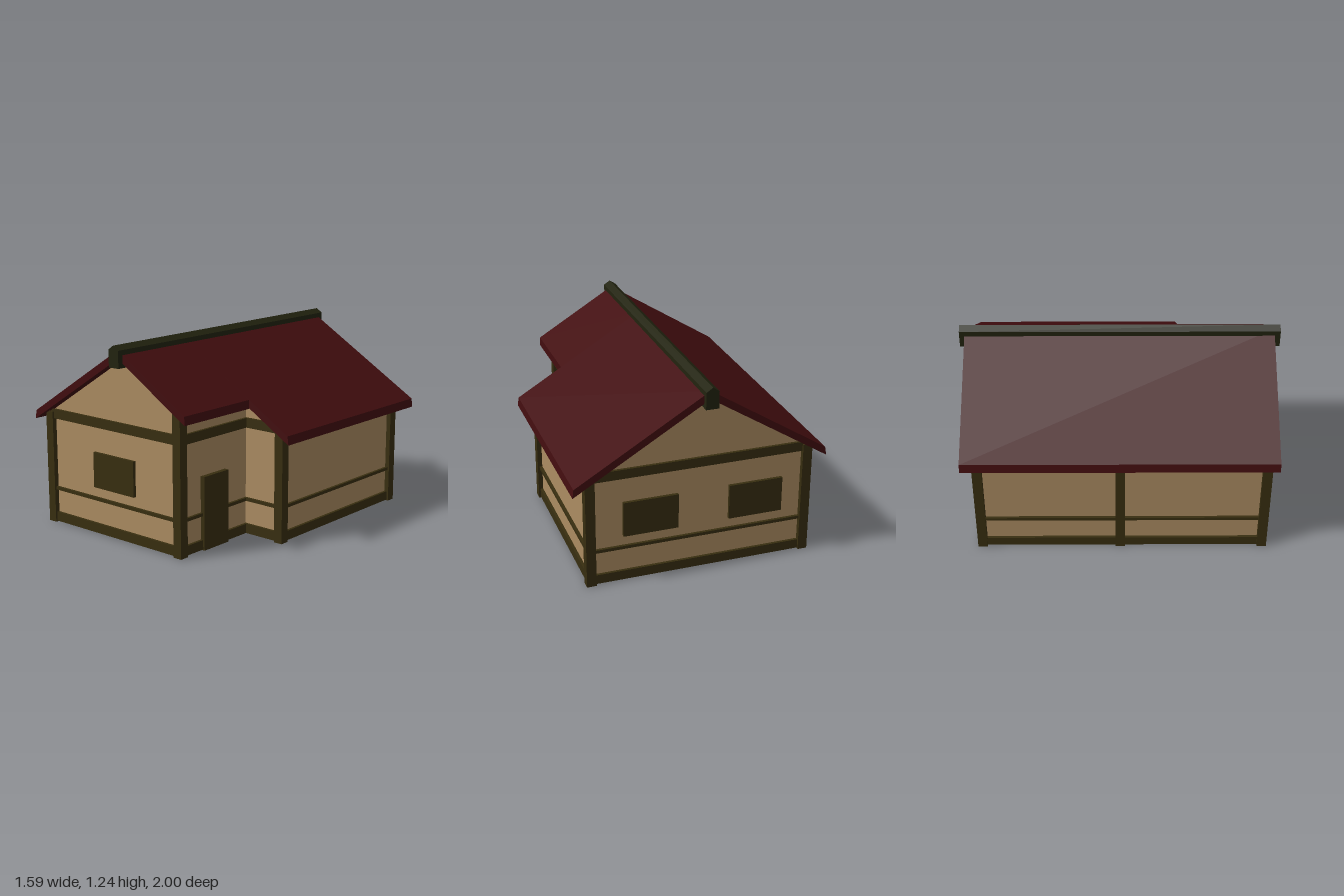
import * as THREE from 'three';

const mat = (name, color) => {
  const m = new THREE.MeshStandardMaterial({ color });
  m.name = name;
  return m;
};

export function createModel() {
  const plaster = mat('tan plaster', 0xac8c62);
  plaster.side = THREE.DoubleSide;
  const timber = mat('dark timber', 0x382e10);
  const tiles = mat('dark red roof', 0x420d0f);
  const ridgeWood = mat('ridge wood', 0x22230f);

  const house = new THREE.Group();
  house.name = 'house';
  const add = (name, geometry, material) => {
    const mesh = new THREE.Mesh(geometry, material);
    mesh.name = name;
    house.add(mesh);
    return mesh;
  };
  // Box given by its limits on each axis
  const box = (name, x0, x1, y0, y1, z0, z1, material) =>
    add(name, new THREE.BoxGeometry(x1 - x0, y1 - y0, z1 - z0), material)
      .position.set((x0 + x1) / 2, (y0 + y1) / 2, (z0 + z1) / 2);
  const shapeOf = (points) => new THREE.Shape(points.map(([x, y]) => new THREE.Vector2(x, y)));
  // Profile in x and y, extruded from z0 to z1
  const prism = (name, points, z0, z1, material) =>
    add(name, new THREE.ExtrudeGeometry(shapeOf(points), { depth: z1 - z0, bevelEnabled: false })
      .translate(0, 0, z0), material);

  const L = -0.705, R = 0.67, N = 0.39;         // wall lines in x; N is the porch notch
  const F = 0.9, NZ = 0.3, B = -0.875;          // wall lines in z
  const yL = 0.737, yR = 0.727, yN = 0.895, yTop = 1.155, ridgeX = -0.04;

  // Walls that follow the roof slope
  const gable = (name, points, z, flip) => {
    const g = new THREE.ShapeGeometry(shapeOf(points.map(([x, y]) => [flip ? -x : x, y])));
    if (flip) g.rotateY(Math.PI);
    add(name, g.translate(0, 0, z), plaster);
  };
  gable('frontWall', [[L, 0.01], [N, 0.01], [N, yN], [ridgeX, yTop], [L, yL]], F);
  gable('porchBackWall', [[N, 0.01], [R, 0.01], [R, yR], [N, yN]], NZ);
  gable('backWall', [[L, 0.01], [R, 0.01], [R, yR], [ridgeX, yTop], [L, yL]], B, true);

  // Straight side walls; dir is the outward side
  const sideWall = (name, x, z0, z1, top, dir) => {
    const g = new THREE.PlaneGeometry(z1 - z0, top - 0.01).rotateY(dir * Math.PI / 2);
    add(name, g.translate(x, (top + 0.01) / 2, (z0 + z1) / 2), plaster);
  };
  sideWall('leftWall', R, B, NZ, yR, 1);
  sideWall('porchSideWall', N, NZ, F, yN, 1);
  sideWall('rightWall', L, B, F, yL, -1);

  // Posts
  const h = 0.03;
  const posts = [[L, F, 0.735], [N, F, 0.9], [R, NZ, 0.72], [R, B, 0.72], [L, B, 0.735], [L, 0, 0.735]];
  for (const [x, z, top] of posts) box('post', x - h, x + h, 0.005, top, z - h, z + h, timber);

  // Horizontal beams: base and middle rail on every wall, top beam on gables and porch
  const rails = [['baseBeam', 0.01, 0.07], ['middleRail', 0.22, 0.24], ['topBeam', 0.69, 0.75]];
  const t = 0.018;
  const alongX = [[L, N, F, 1], [N, R, NZ, 1], [L, R, B, -1]];
  const alongZ = [[B, NZ, R, 1, false], [NZ, F, N, 1, true], [B, F, L, -1, false]];
  for (const [name, y0, y1] of rails) {
    for (const [x0, x1, z, d] of alongX)
      box(name, x0, x1, y0, y1, Math.min(z, z + d * t), Math.max(z, z + d * t), timber);
    for (const [z0, z1, x, d, hasTop] of alongZ)
      if (hasTop || name !== 'topBeam')
        box(name, Math.min(x, x + d * t), Math.max(x, x + d * t), y0, y1, z0, z1, timber);
  }

  // Shutters and door
  box('frontShutter', -0.32, 0.025, 0.305, 0.53, F, F + 0.02, timber);
  box('backShutter', 0.12, 0.465, 0.305, 0.53, B - 0.02, B, timber);
  box('backShutter', -0.55, -0.205, 0.305, 0.53, B - 0.02, B, timber);
  box('door', N, N + 0.03, 0.005, 0.465, 0.5, 0.72, timber);

  // Roof slabs; the left slope is shorter over the porch
  prism('rightRoof', [[ridgeX, 1.155], [ridgeX, 1.207], [-0.787, 0.735], [-0.797, 0.68]], -0.968, 0.965, tiles);
  prism('leftRoof', [[ridgeX, 1.155], [0.79, 0.655], [0.783, 0.71], [ridgeX, 1.207]], -0.968, 0.39, tiles);
  prism('porchRoof', [[ridgeX, 1.155], [0.49, 0.833], [0.487, 0.887], [ridgeX, 1.207]], 0.39, 0.965, tiles);

  // Ridge beam
  prism('ridgeBeam', [[-0.08, 1.105], [0, 1.105], [0, 1.213], [ridgeX, 1.24], [-0.08, 1.213]], -1, 1, ridgeWood);

  return house;
}
